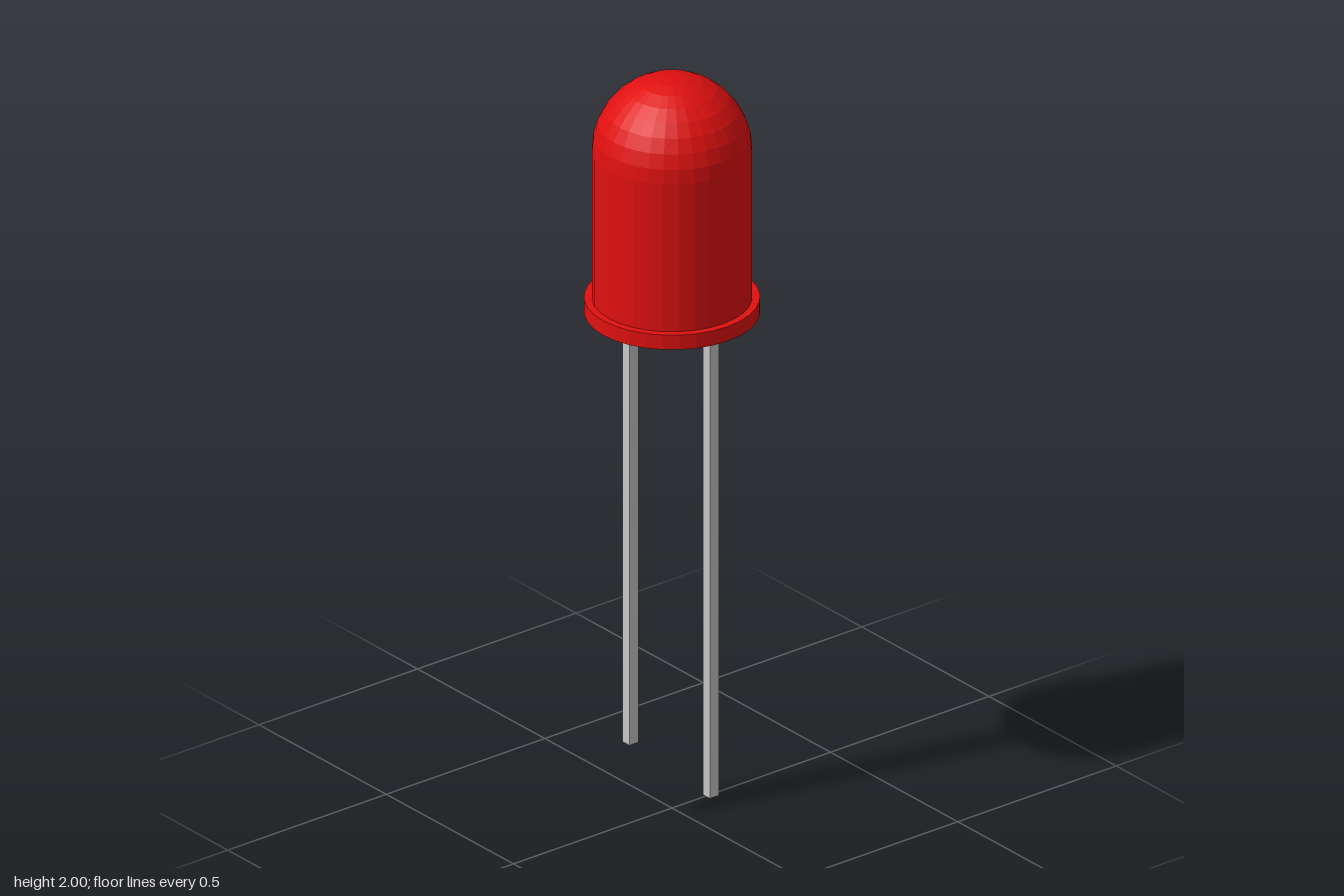
import * as THREE from 'three';

export function createModel() {
  const model = new THREE.Group();
  const red = new THREE.MeshStandardMaterial({ name: 'red plastic', color: 0xe01010, flatShading: true });
  const metal = new THREE.MeshStandardMaterial({ name: 'lead metal', color: 0xc8c8c8, flatShading: true });

  const SIDES = 32, RADIUS = 0.198, RIM = 0.217;
  const BASE = 1.36, RIM_TOP = 1.4, DOME_Y = 2 - RADIUS;

  const add = (name, geometry, material, x, y, z) => {
    const mesh = new THREE.Mesh(geometry, material);
    mesh.name = name;
    mesh.position.set(x, y, z);
    model.add(mesh);
  };

  // Lens: straight wall closed by a hemisphere of eight bands
  const profile = [new THREE.Vector2(RADIUS, RIM_TOP)];
  for (let i = 0; i <= 8; i++) {
    const a = (i / 8) * Math.PI / 2;
    profile.push(new THREE.Vector2(i === 8 ? 0 : RADIUS * Math.cos(a), DOME_Y + RADIUS * Math.sin(a)));
  }
  add('lens', new THREE.LatheGeometry(profile, SIDES), red, 0, 0, 0);

  // Rim under the lens
  add('rim', new THREE.CylinderGeometry(RIM, RIM, RIM_TOP - BASE, SIDES), red, 0, (BASE + RIM_TOP) / 2, 0);

  // Square leads, one longer than the other
  const addLead = (name, x, bottom, z) =>
    add(name, new THREE.BoxGeometry(0.028, BASE - bottom, 0.028), metal, x, (BASE + bottom) / 2, z);
  addLead('longLead', 0.12, 0, 0.003);
  addLead('shortLead', -0.13, 0.22, -0.002);

  return model;
}
